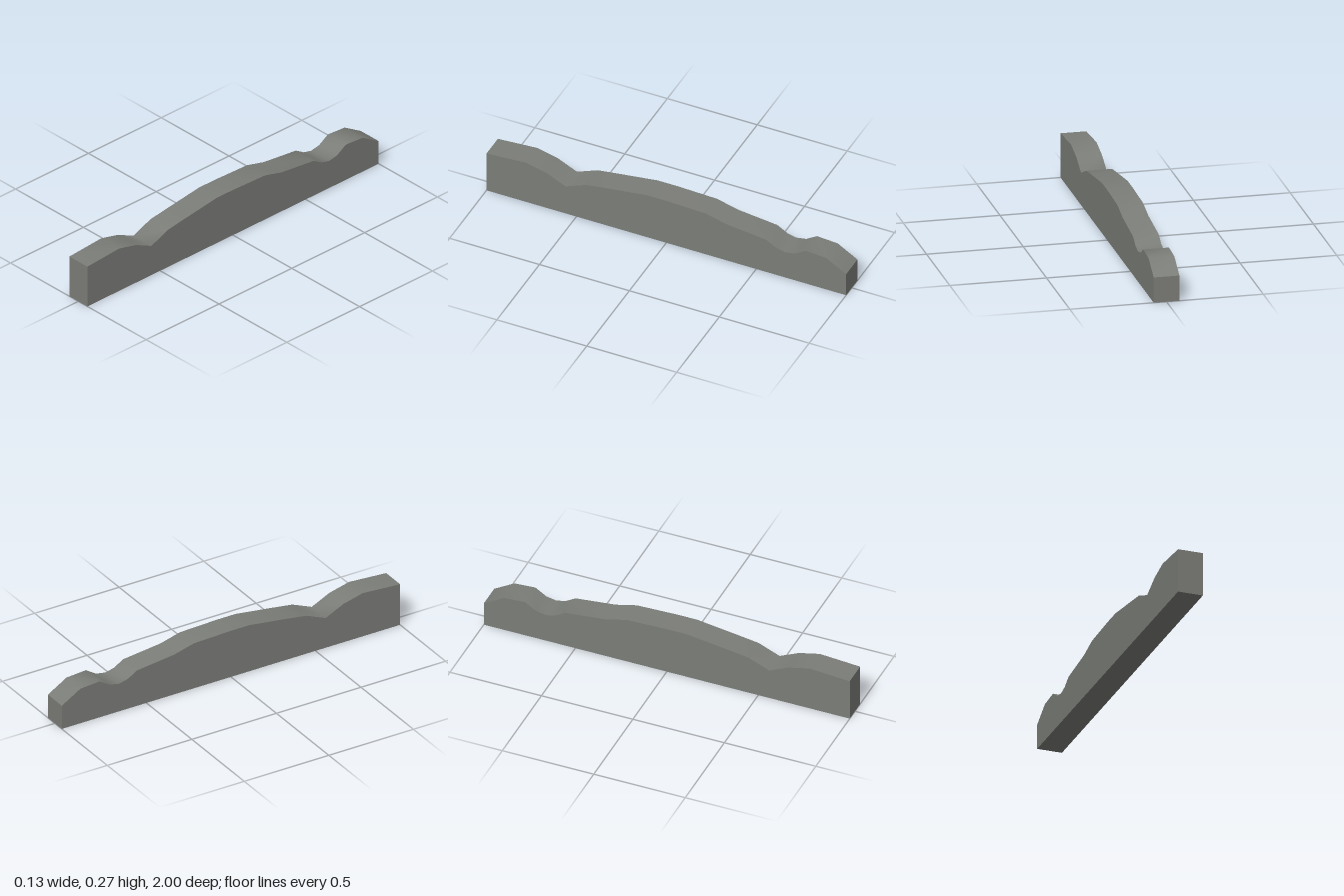
import * as THREE from 'three';
import { toCreasedNormals } from 'three/addons/utils/BufferGeometryUtils.js';

const WIDTH = 0.133;

// Top outline as [z, y], from front to back
const OUTLINE = [
  [1, 0.235], [0.78, 0.25], [0.665, 0.222], [0.56, 0.172], [0.445, 0.22],
  [0.335, 0.236], [0.11, 0.267], [0, 0.267], [-0.22, 0.26], [-0.335, 0.23],
  [-0.555, 0.205], [-0.61, 0.172], [-0.66, 0.16], [-0.715, 0.17],
  [-0.775, 0.208], [-0.89, 0.2], [-1, 0.134],
];

export function createModel() {
  const group = new THREE.Group();
  group.name = 'ridgeBeam';

  const stone = new THREE.MeshStandardMaterial({ color: 0x7b7d78 });
  stone.name = 'stoneGrey';

  // Side silhouette, closed by a flat base
  const shape = new THREE.Shape(
    [[-1, 0], [1, 0], ...OUTLINE].map(([z, y]) => new THREE.Vector2(z, y))
  );

  // Extrude across the width; the top stays smooth while ends and sides stay sharp
  const solid = new THREE.ExtrudeGeometry(shape, { depth: WIDTH, bevelEnabled: false });
  solid.translate(0, 0, -WIDTH / 2).rotateY(-Math.PI / 2);
  const beam = new THREE.Mesh(toCreasedNormals(solid, 0.95), stone);
  beam.name = 'wavyBeam';
  group.add(beam);

  return group;
}
